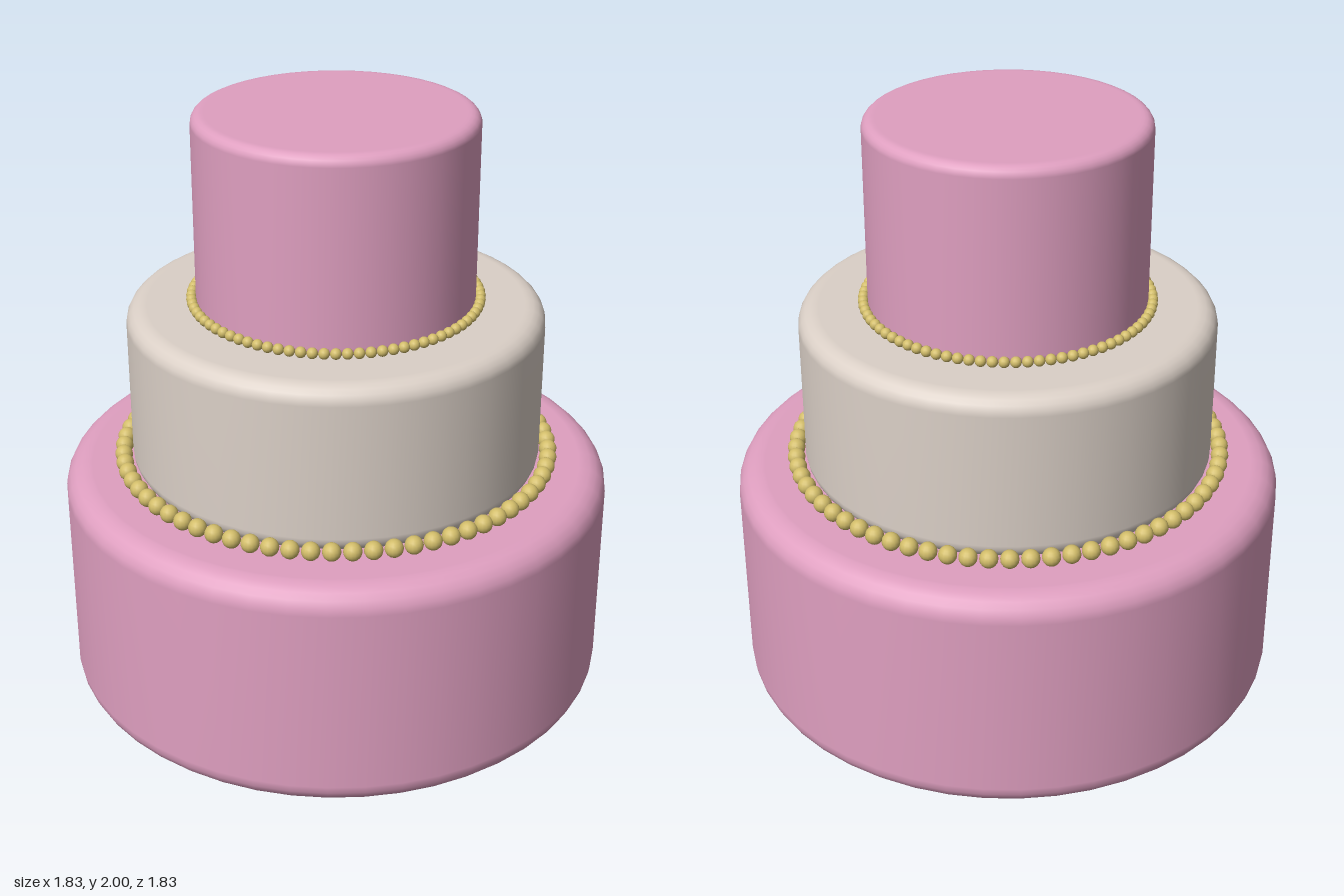
import * as THREE from 'three';

export function createModel() {
  const cake = new THREE.Group();
  cake.name = 'tieredCake';

  const pink = new THREE.MeshStandardMaterial({ color: 0xdf9fc0 });
  pink.name = 'pink icing';
  const cream = new THREE.MeshStandardMaterial({ color: 0xdbd0c7 });
  cream.name = 'cream icing';
  const gold = new THREE.MeshStandardMaterial({ color: 0xd2bd6a });
  gold.name = 'gold pearls';

  // Round tier with softly rounded rims
  function addTier(name, radius, bottom, top, bevel, material) {
    const inner = radius - bevel;
    const steps = 5;
    const points = [new THREE.Vector2(0, bottom), new THREE.Vector2(inner - 0.01, bottom)];
    for (let i = 0; i <= steps; i++) {
      const a = (i / steps) * Math.PI / 2;
      points.push(new THREE.Vector2(inner + bevel * Math.sin(a), bottom + bevel * (1 - Math.cos(a))));
    }
    for (let i = 0; i <= steps; i++) {
      const a = (i / steps) * Math.PI / 2;
      points.push(new THREE.Vector2(inner + bevel * Math.cos(a), top - bevel * (1 - Math.sin(a))));
    }
    points.push(new THREE.Vector2(inner - 0.01, top), new THREE.Vector2(0, top));
    const tier = new THREE.Mesh(new THREE.LatheGeometry(points, 48), material);
    tier.name = name;
    cake.add(tier);
  }

  // Ring of pearls around the foot of a tier
  function addPearls(name, ringRadius, y, pearlRadius, count) {
    const ring = new THREE.Group();
    ring.name = name;
    const geometry = new THREE.SphereGeometry(pearlRadius, 14, 10);
    for (let i = 0; i < count; i++) {
      const a = (i + 0.5) / count * Math.PI * 2;
      const pearl = new THREE.Mesh(geometry, gold);
      pearl.name = 'pearl';
      pearl.position.set(ringRadius * Math.sin(a), y, ringRadius * Math.cos(a));
      ring.add(pearl);
    }
    cake.add(ring);
  }

  addTier('bottomTier', 0.917, 0, 0.795, 0.08, pink);
  addTier('middleTier', 0.687, 0.79, 1.36, 0.058, cream);
  addTier('topTier', 0.458, 1.35, 2, 0.035, pink);

  addPearls('lowerPearls', 0.719, 0.825, 0.03, 70);
  addPearls('upperPearls', 0.472, 1.377, 0.018, 82);

  return cake;
}
